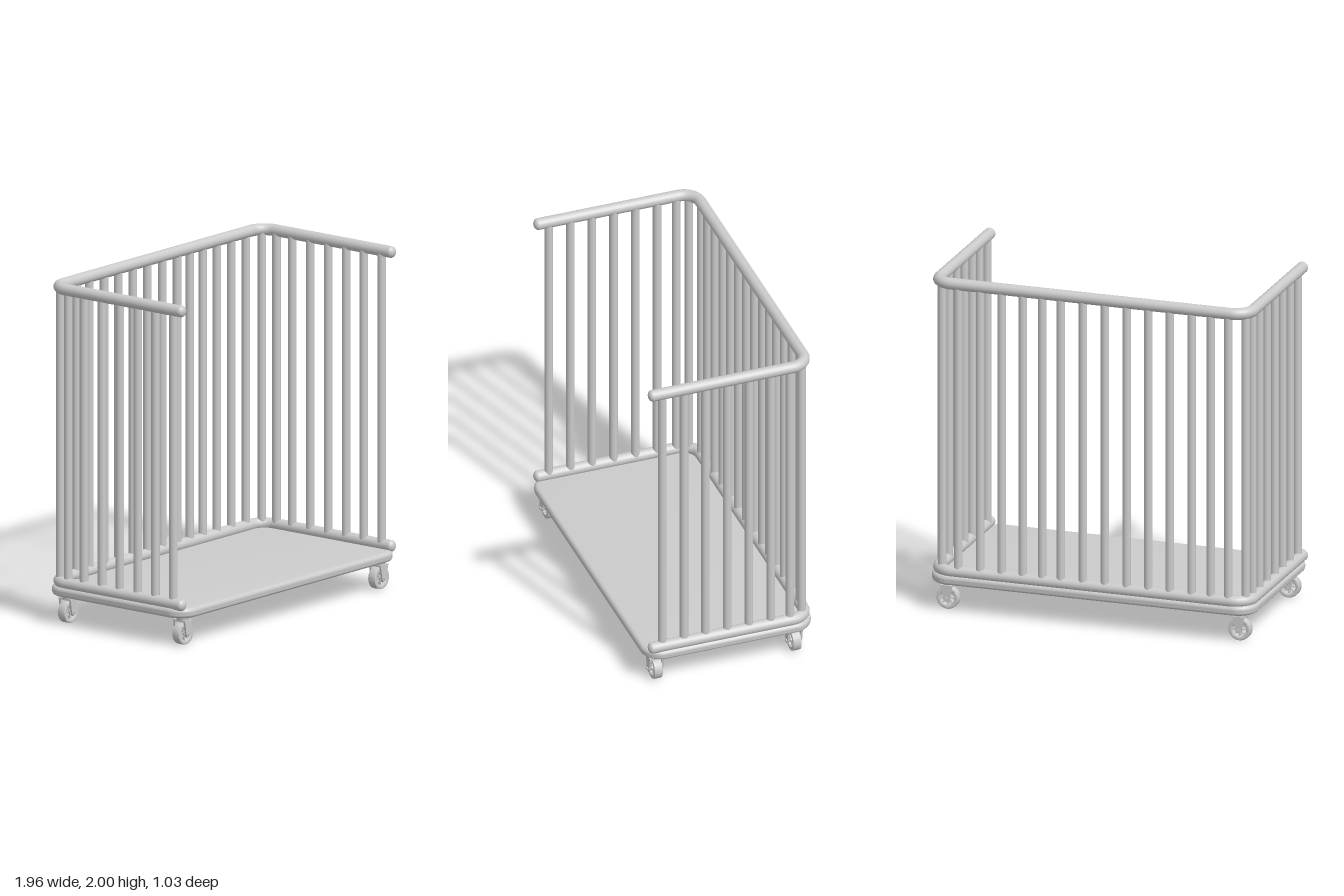
import * as THREE from 'three';
import { toCreasedNormals } from 'three/addons/utils/BufferGeometryUtils.js';

const material = new THREE.MeshStandardMaterial({ color: 0xcccccc });
const V = (x, y, z) => new THREE.Vector3(x, y, z);

function add(parent, name, geometry, x = 0, y = 0, z = 0) {
  const mesh = new THREE.Mesh(geometry, material);
  mesh.name = name;
  mesh.position.set(x, y, z);
  parent.add(mesh);
  return mesh;
}

const RAIL_X = 0.945, BACK_Z = -0.48, FRONT_Z = 0.47, CORNER = 0.1;
const RAIL_R = 0.034, TOP_Y = 1.966, LOW_Y = 0.244;

// U-shaped rail, open to the front, with domed ends
function createRail(name, y) {
  const rail = new THREE.Group();
  rail.name = name;
  const k = CORNER * 0.448, inX = RAIL_X - CORNER, inZ = BACK_Z + CORNER;
  const path = new THREE.CurvePath();
  path.add(new THREE.LineCurve3(V(-RAIL_X, 0, FRONT_Z), V(-RAIL_X, 0, inZ)));
  path.add(new THREE.CubicBezierCurve3(V(-RAIL_X, 0, inZ), V(-RAIL_X, 0, BACK_Z + k), V(-RAIL_X + k, 0, BACK_Z), V(-inX, 0, BACK_Z)));
  path.add(new THREE.LineCurve3(V(-inX, 0, BACK_Z), V(inX, 0, BACK_Z)));
  path.add(new THREE.CubicBezierCurve3(V(inX, 0, BACK_Z), V(RAIL_X - k, 0, BACK_Z), V(RAIL_X, 0, BACK_Z + k), V(RAIL_X, 0, inZ)));
  path.add(new THREE.LineCurve3(V(RAIL_X, 0, inZ), V(RAIL_X, 0, FRONT_Z)));
  add(rail, 'railTube', new THREE.TubeGeometry(path, 200, RAIL_R, 20));
  for (const s of [-1, 1]) {
    add(rail, 'railEnd', new THREE.SphereGeometry(RAIL_R, 20, 14), s * RAIL_X, 0, FRONT_Z).scale.z = 0.75;
  }
  rail.position.y = y;
  return rail;
}

// Flat deck with rounded corners and rounded edges
function createDeck() {
  const bevel = 0.025, w = 0.982 - bevel, d = 0.515 - bevel, r = 0.095;
  const shape = new THREE.Shape();
  shape.absarc(w - r, d - r, r, 0, Math.PI / 2);
  shape.absarc(-w + r, d - r, r, Math.PI / 2, Math.PI);
  shape.absarc(-w + r, -d + r, r, Math.PI, Math.PI * 1.5);
  shape.absarc(w - r, -d + r, r, Math.PI * 1.5, Math.PI * 2);
  const geometry = new THREE.ExtrudeGeometry(shape, {
    depth: 0.06 - 2 * bevel, bevelSize: bevel, bevelThickness: bevel, bevelSegments: 5, curveSegments: 10,
  });
  geometry.rotateX(-Math.PI / 2);
  return toCreasedNormals(geometry, 0.6);
}

// Annulus lying across z, centred on its own thickness
function ring(outer, inner, depth, bevel) {
  const shape = new THREE.Shape().absarc(0, 0, outer - bevel, 0, Math.PI * 2);
  shape.holes.push(new THREE.Path().absarc(0, 0, inner + bevel, 0, Math.PI * 2, true));
  const geometry = new THREE.ExtrudeGeometry(shape, {
    depth: depth - 2 * bevel, bevelSize: bevel, bevelThickness: bevel, bevelSegments: 2, curveSegments: 16,
  });
  geometry.translate(0, 0, bevel - depth / 2);
  return toCreasedNormals(geometry, 0.6);
}

// Caster: spoked wheel, axle, two fork plates, swivel
function createCaster(x, z) {
  const caster = new THREE.Group();
  caster.name = 'caster';
  const wheelY = 0.066;
  add(caster, 'tire', ring(0.066, 0.042, 0.052, 0.006), 0, wheelY, 0);
  const axle = (r, len) => new THREE.CylinderGeometry(r, r, len, 16).rotateX(Math.PI / 2);
  add(caster, 'hub', axle(0.016, 0.046), 0, wheelY, 0);
  add(caster, 'axle', axle(0.009, 0.1), 0, wheelY, 0);
  for (let i = 0; i < 8; i++) {
    const a = i * Math.PI / 4;
    add(caster, 'spoke', new THREE.BoxGeometry(0.034, 0.006, 0.03), Math.cos(a) * 0.029, wheelY + Math.sin(a) * 0.029, 0).rotation.z = a;
  }
  const plate = new THREE.Shape();
  plate.moveTo(0.034, 0.145);
  plate.lineTo(-0.034, 0.145);
  plate.lineTo(-0.02, 0.062);
  plate.absarc(0, 0.066, 0.018, Math.PI, Math.PI * 2);
  for (const s of [-1, 1]) {
    const geometry = new THREE.ExtrudeGeometry(plate, { depth: 0.012, bevelEnabled: false });
    add(caster, 'forkPlate', geometry, 0, 0, s * 0.038 - 0.006);
  }
  add(caster, 'forkTop', new THREE.BoxGeometry(0.068, 0.012, 0.088), 0, 0.141, 0);
  add(caster, 'swivel', new THREE.CylinderGeometry(0.042, 0.036, 0.026, 24), 0, 0.156, 0);
  caster.position.set(x, 0, z);
  return caster;
}

export function createModel() {
  const model = new THREE.Group();
  model.name = 'cageTrolley';

  add(model, 'deck', createDeck(), 0, 0.165 + 0.025, 0);
  model.add(createRail('lowerRail', LOW_Y), createRail('upperRail', TOP_Y));

  // Upright bars along the back, the two sides and the corners
  const bars = new THREE.Group();
  bars.name = 'bars';
  const barGeometry = new THREE.CylinderGeometry(0.0245, 0.0245, TOP_Y - LOW_Y, 18, 1, true);
  const addBar = (x, z) => add(bars, 'bar', barGeometry, x, (TOP_Y + LOW_Y) / 2, z);
  const backX = [-0.832, -0.726, -0.61, -0.478, -0.349, -0.218, -0.087, 0.046, 0.18, 0.293, 0.41, 0.538, 0.668, 0.8];
  const sideZ = [0.407, 0.275, 0.145, 0.013, -0.119, -0.251, -0.367];
  for (const x of backX) addBar(x, BACK_Z);
  for (const z of sideZ) for (const s of [-1, 1]) addBar(s * 0.938, z);
  addBar(0.908, -0.45);
  addBar(-0.922, -0.438);
  model.add(bars);

  for (const x of [-0.882, 0.882]) for (const z of [-0.412, 0.43]) model.add(createCaster(x, z));
  return model;
}
